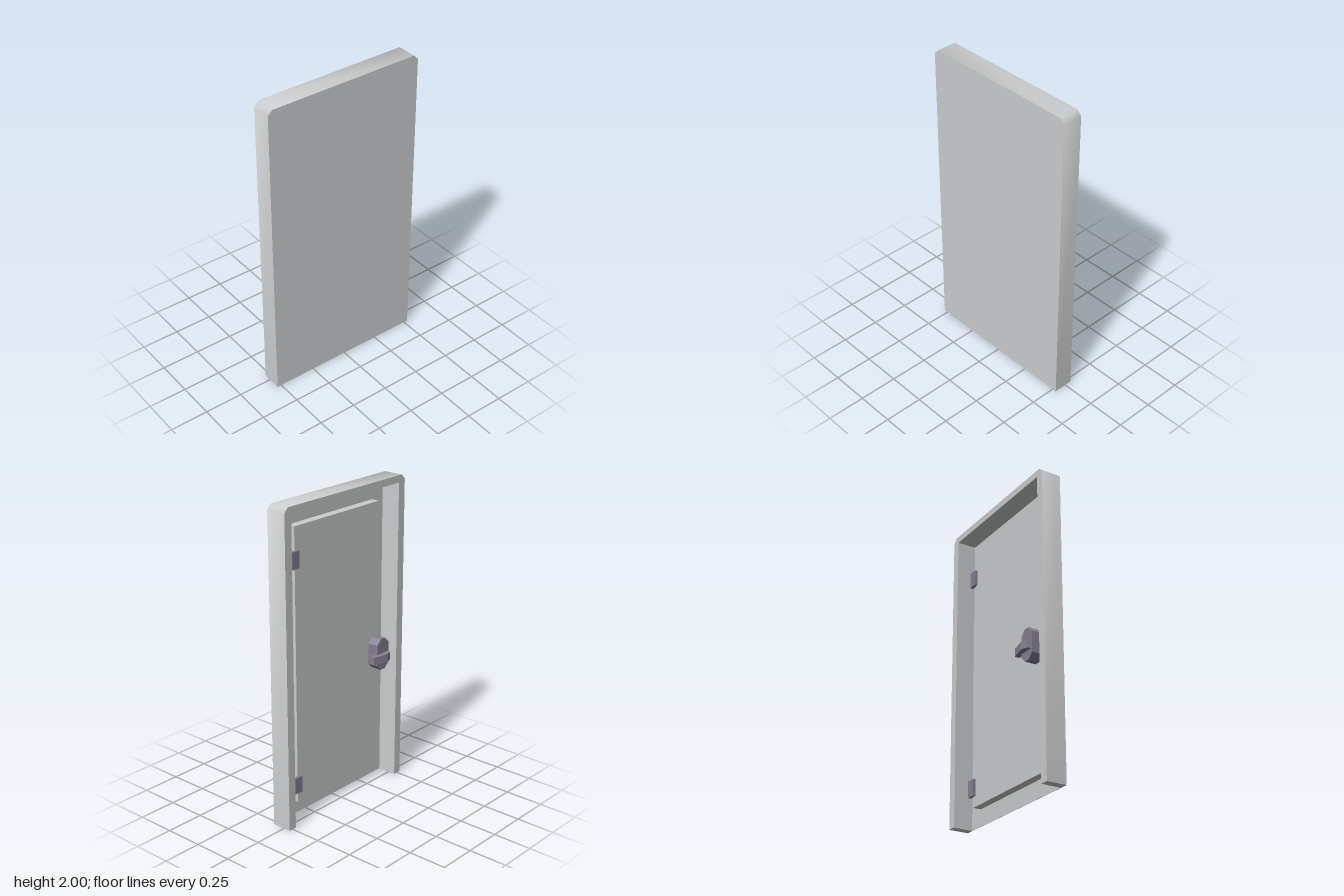
import * as THREE from 'three';
import { toCreasedNormals } from 'three/addons/utils/BufferGeometryUtils.js';

const BACK = 0.083, FRONT = -0.047;   // x of the flat back and of the open side
const LEAF = 0.027;                   // x of the door leaf's face
const HALF = 0.527, INNER = 0.472, CUT = 0.03, LINTEL = 1.955;

export function createModel() {
  const model = new THREE.Group();
  const grey = new THREE.MeshStandardMaterial({ color: 0xcbcccd });
  grey.name = 'light grey';
  const metal = new THREE.MeshStandardMaterial({ color: 0x858092 });
  metal.name = 'purple grey metal';

  // Extrudes a [z, y] outline from x = from down to x = to
  function slab(name, points, from, to, material) {
    const shape = new THREE.Shape(points.map(([z, y]) => new THREE.Vector2(z, y)));
    const geometry = new THREE.ExtrudeGeometry(shape, { depth: from - to, bevelEnabled: false });
    geometry.rotateY(-Math.PI / 2);
    geometry.translate(from, 0, 0);
    const mesh = new THREE.Mesh(geometry, material);
    mesh.name = name;
    model.add(mesh);
    return mesh;
  }

  const outline = [
    [HALF, 0], [HALF, 2 - CUT], [HALF - CUT, 2],
    [-HALF + CUT, 2], [-HALF, 2 - CUT], [-HALF, 0],
  ];

  // Thin sheet closing the back, and the deep frame with two jambs and a lintel
  const sheet = slab('backSheet', outline, BACK, BACK - 0.003, grey);
  const frame = slab('doorFrame', [
    ...outline, [-INNER, 0], [-INNER, LINTEL], [INNER, LINTEL], [INNER, 0],
  ], BACK - 0.003, FRONT, grey);

  // Shading runs smoothly over the cut top corners
  for (const part of [sheet, frame]) {
    part.geometry = toCreasedNormals(part.geometry, THREE.MathUtils.degToRad(50));
  }

  // Door leaf, with an even gap to the frame all round
  slab('doorLeaf', [[0.372, 0.108], [0.372, 1.85], [-0.372, 1.85], [-0.372, 0.108]],
    BACK - 0.003, LEAF, grey);

  // Hinges at the rear edge of the leaf
  for (const y of [0.23, 1.655]) {
    const hinge = new THREE.Mesh(new THREE.BoxGeometry(0.02, 0.105, 0.06), metal);
    hinge.name = 'hinge';
    hinge.position.set(LEAF - 0.006, y, -0.378);
    model.add(hinge);
  }

  // Handle: tall plate with cut corners
  const z0 = 0.285, z1 = 0.395, y0 = 0.785, y1 = 0.99, c = 0.035;
  slab('handlePlate', [
    [z0 + c, y0], [z1 - c, y0], [z1, y0 + c], [z1, y1 - c],
    [z1 - c, y1], [z0 + c, y1], [z0, y1 - c], [z0, y0 + c],
  ], LEAF, FRONT + 0.001, metal);

  // Lever: a wedge seen from above, [x, z], extruded upwards
  const wedge = [[-0.03, 0.235], [-0.06, 0.235], [-0.085, 0.34], [-0.073, 0.378],
    [-0.047, 0.387], [-0.03, 0.39]];
  const leverShape = new THREE.Shape(wedge.map(([x, z]) => new THREE.Vector2(x, -z)));
  const leverGeometry = new THREE.ExtrudeGeometry(leverShape, { depth: 0.05, bevelEnabled: false });
  leverGeometry.rotateX(-Math.PI / 2);
  const lever = new THREE.Mesh(leverGeometry, metal);
  lever.name = 'handleLever';
  lever.position.y = 0.845;
  model.add(lever);

  return model;
}
